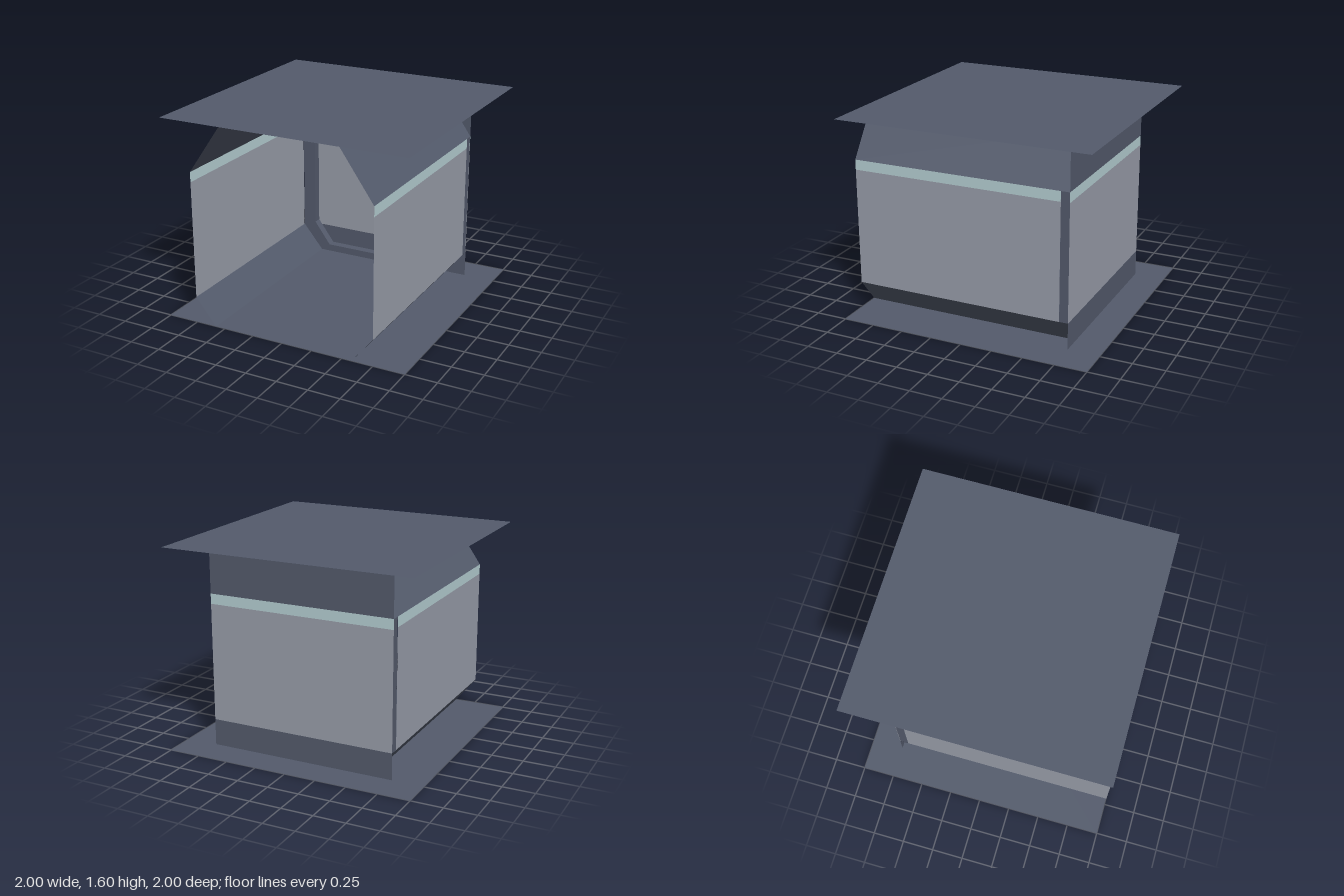
import * as THREE from 'three';

const mat = (name, color) => new THREE.MeshStandardMaterial({ name, color, side: THREE.DoubleSide });

export function createModel() {
  const root = new THREE.Group();
  root.name = 'corridorEnd';
  const dark = mat('slate', 0x545b6c);
  const pale = mat('paleGrey', 0x999eaa);
  const trim = mat('paleTeal', 0xb6d0d4);

  const FRONT = 1, FRAME = -0.68, BACK = -0.75;
  const W = 0.75, H = 1.6;

  const add = (name, geometry, material) => {
    const mesh = new THREE.Mesh(geometry, material);
    mesh.name = name;
    root.add(mesh);
    return mesh;
  };

  // Flat four-cornered panel, corners counter-clockwise
  const panel = (name, material, a, b, c, d) => {
    const g = new THREE.BufferGeometry();
    g.setAttribute('position', new THREE.Float32BufferAttribute([...a, ...b, ...c, ...d], 3));
    g.setIndex([0, 1, 2, 0, 2, 3]);
    g.computeVertexNormals();
    return add(name, g, material);
  };

  // Floor and ceiling sheets
  panel('floor', dark, [-1, 0, 1], [1, 0, 1], [1, 0, -1], [-1, 0, -1]);
  panel('ceiling', dark, [-1, H, 1], [1, H, 1], [1, H, -1], [-1, H, -1]);

  // Side walls: sloped skirting, main panel, trim band, sloped cornice
  const sections = [
    ['skirting', dark, [0.58, 0], [W, 0.21], BACK],
    ['wallPanel', pale, [W, 0.21], [W, 1.14], FRAME],
    ['wallTrim', trim, [W, 1.14], [W, 1.22], FRAME],
    ['cornice', dark, [W, 1.22], [0.485, H], BACK],
  ];
  for (const [name, material, [x0, y0], [x1, y1], end] of sections) {
    panel('left' + name, material,
      [x0, y0, FRONT], [x0, y0, end], [x1, y1, end], [x1, y1, FRONT]);
    panel('right' + name, material,
      [-x0, y0, end], [-x0, y0, FRONT], [-x1, y1, FRONT], [-x1, y1, end]);
  }

  // Back wall in horizontal bands
  const bands = [
    ['backSkirting', dark, 0, 0.21],
    ['backPanel', pale, 0.21, 1.14],
    ['backTrim', trim, 1.14, 1.22],
    ['backCornice', dark, 1.22, H],
  ];
  for (const [name, material, y0, y1] of bands) {
    panel(name, material, [W, y0, BACK], [-W, y0, BACK], [-W, y1, BACK], [W, y1, BACK]);
  }

  // Octagonal door frame, mirrored from its +x half
  const octagon = (half) => [
    ...half.map(([x, y]) => new THREE.Vector2(x, y)),
    ...half.slice().reverse().map(([x, y]) => new THREE.Vector2(-x, y)),
  ];
  const shape = new THREE.Shape(octagon([[0.577, 0.002], [0.748, 0.21], [0.748, 1.22], [0.482, 1.598]]));
  shape.holes.push(new THREE.Path(octagon([[0.5, 0.06], [0.64, 0.25], [0.64, 1.16], [0.425, 1.5]])));
  const frame = new THREE.ExtrudeGeometry(shape, { depth: FRAME - BACK - 0.002, bevelEnabled: false });
  frame.translate(0, 0, BACK + 0.002);
  add('doorFrame', frame, dark);

  return root;
}
